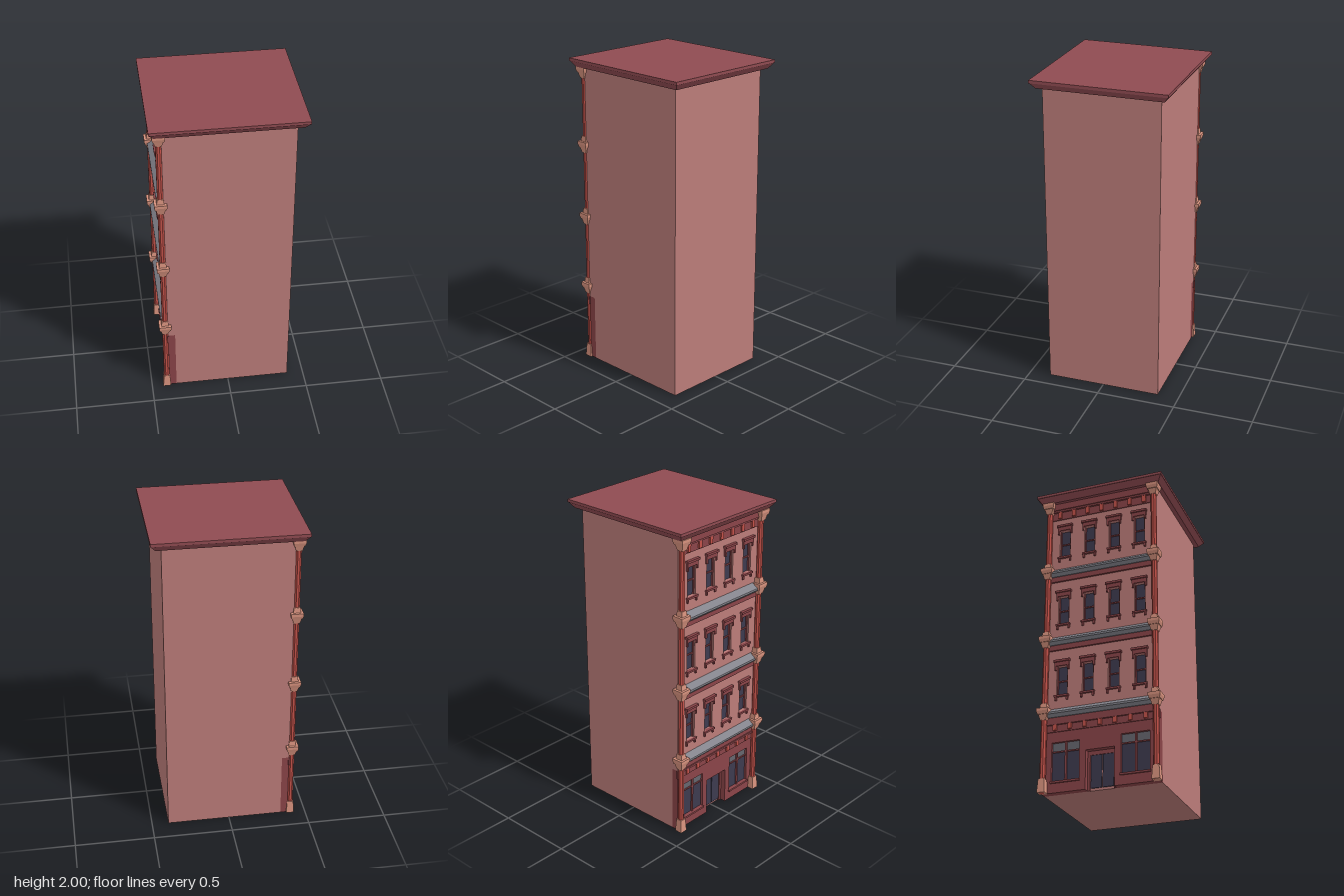
import * as THREE from 'three';

const mat = (color) => new THREE.MeshStandardMaterial({ color, flatShading: true });

export function createModel() {
  const M = {
    wall: mat(0xbb7c79), roof: mat(0x8f4b51), trim: mat(0x8a4448), column: mat(0xc4524a),
    stone: mat(0xd6917d), glass: mat(0x3d3a4e), transom: mat(0x66666e), ledge: mat(0x84848c),
  };
  const model = new THREE.Group();
  const W = 0.73, H = 1.95, DEPTH = 0.045, FACE = -0.385;
  const STOREY = 0.475;

  const add = (parent, name, geo, material, x = 0, y = 0, z = 0) => {
    const m = new THREE.Mesh(geo, material);
    m.name = name;
    m.position.set(x, y, z);
    parent.add(m);
    return m;
  };
  // box given by centre u, bottom and top, and how far back and out it reaches
  const slab = (parent, name, material, u, w, y0, y1, back, out) =>
    add(parent, name, new THREE.BoxGeometry(w, y1 - y0, out - back), material,
      u, (y0 + y1) / 2, (back + out) / 2);
  // tapered block with a rectangular plan
  const taper = (w0, d0, w1, d1, h) => {
    const g = new THREE.BoxGeometry(1, h, 1);
    const p = g.attributes.position;
    for (let i = 0; i < p.count; i++) {
      const top = p.getY(i) > 0;
      p.setX(i, p.getX(i) * (top ? w1 : w0));
      p.setZ(i, p.getZ(i) * (top ? d1 : d0));
    }
    g.translate(0, h / 2, 0);
    g.computeVertexNormals();
    return g;
  };
  const rect = (Cls, u, w, y0, y1) => {
    const s = new Cls();
    s.moveTo(u - w / 2, y0);
    s.lineTo(u + w / 2, y0);
    s.lineTo(u + w / 2, y1);
    s.lineTo(u - w / 2, y1);
    s.closePath();
    return s;
  };

  // plain body of the building, behind the street wall
  const bodyLen = 0.395 - (FACE + DEPTH);
  add(model, 'body', new THREE.BoxGeometry(bodyLen, H, W), M.wall, 0.395 - bodyLen / 2, H / 2, 0);

  // roof with flared cornice
  const roof = new THREE.Group();
  roof.name = 'roof';
  model.add(roof);
  add(roof, 'roofFlare', taper(0.86, 0.785, 0.915, 0.84, 0.037), M.roof, 0, 1.945, 0);
  add(roof, 'roofSlab', new THREE.BoxGeometry(0.92, 0.018, 0.845), M.roof, 0, 1.991, 0);

  // street side: local x runs along the wall, local z points outwards
  const facade = new THREE.Group();
  facade.name = 'facade';
  facade.position.x = FACE;
  facade.rotation.y = -Math.PI / 2;
  model.add(facade);

  const bays = [-0.25, -0.083, 0.083, 0.25];
  const floors = [0, 1, 2].map((i) => i * STOREY);
  const shops = [-0.218, 0.218];

  // upper wall with window openings
  const wall = rect(THREE.Shape, 0, W, 0.43, H);
  for (const f of floors) for (const u of bays) wall.holes.push(rect(THREE.Path, u, 0.07, 0.61 + f, 0.8 + f));
  add(facade, 'streetWall', new THREE.ExtrudeGeometry(wall, { depth: DEPTH, bevelEnabled: false }),
    M.wall, 0, 0, -DEPTH);

  // ground floor front with door recess and shop window openings
  const front = new THREE.Shape();
  [[-W / 2, 0], [-0.09, 0], [-0.09, 0.24], [0.09, 0.24], [0.09, 0], [W / 2, 0], [W / 2, 0.43], [-W / 2, 0.43]]
    .forEach(([u, y], i) => (i ? front.lineTo(u, y) : front.moveTo(u, y)));
  for (const u of shops) front.holes.push(rect(THREE.Path, u, 0.175, 0.07, 0.31));
  add(facade, 'shopFront', new THREE.ExtrudeGeometry(front, { depth: DEPTH, bevelEnabled: false }),
    M.trim, 0, 0, -DEPTH);

  // door
  for (const s of [-1, 1]) {
    slab(facade, 'doorLeaf', M.glass, s * 0.037, 0.068, 0.015, 0.215, -DEPTH, -0.038);
    slab(facade, 'doorPost', M.trim, s * 0.082, 0.016, 0, 0.24, -DEPTH, -0.034);
  }
  slab(facade, 'doorHead', M.trim, 0, 0.18, 0.215, 0.24, -DEPTH, -0.034);

  // shop windows
  for (const u of shops) {
    slab(facade, 'shopGlass', M.glass, u, 0.175, 0.07, 0.255, -DEPTH, -0.016);
    slab(facade, 'shopTransom', M.transom, u, 0.175, 0.255, 0.31, -DEPTH, -0.016);
    slab(facade, 'shopMullion', M.trim, u, 0.012, 0.07, 0.31, -0.016, -0.006);
    slab(facade, 'shopRail', M.trim, u, 0.175, 0.25, 0.258, -0.016, -0.008);
    slab(facade, 'shopSill', M.trim, u, 0.185, 0.058, 0.07, 0, 0.01);
  }

  // friezes with brackets over the shop front and under the roof
  const frieze = (y0, y1, w) => {
    slab(facade, 'frieze', M.trim, 0, w, y0, y1, -0.004, 0.006);
    slab(facade, 'friezeMoulding', M.trim, 0, 0.68, y1 - 0.012, y1, 0, 0.018);
    for (let i = 0; i < 7; i++)
      slab(facade, 'friezeBracket', M.column, -0.285 + i * 0.095, 0.024, y0 + 0.008, y1 - 0.012, 0, 0.016);
  };
  frieze(0.375, 0.43, 0.742);
  frieze(1.835, 1.9, 0.7);
  slab(facade, 'topBand', M.trim, 0, 0.68, 1.9, 1.945, 0, 0.024);

  // sloped ledges at each storey, drawn in section and run along the wall
  const section = new THREE.Shape();
  [[0, 0.03], [0, -0.03], [0.018, -0.03], [0.036, -0.012], [0.036, 0]]
    .forEach(([o, y], i) => (i ? section.lineTo(o, y) : section.moveTo(o, y)));
  const ledgeGeo = new THREE.ExtrudeGeometry(section, { depth: 0.68, bevelEnabled: false });
  ledgeGeo.rotateY(-Math.PI / 2);
  ledgeGeo.translate(0.34, 0, 0);
  for (const f of floors) {
    add(facade, 'ledge', ledgeGeo, M.ledge, 0, 0.495 + f, 0);
    slab(facade, 'ledgeBand', M.trim, 0, 0.68, 0.432 + f, 0.465 + f, 0, 0.012);
  }

  // upper windows
  for (const f of floors) for (const u of bays) {
    const win = new THREE.Group();
    win.name = 'window';
    win.position.set(u, f, 0);
    facade.add(win);
    slab(win, 'glass', M.glass, 0, 0.07, 0.61, 0.8, -DEPTH, -0.02);
    slab(win, 'meetingRail', M.trim, 0, 0.07, 0.701, 0.709, -0.02, -0.012);
    slab(win, 'sill', M.trim, 0, 0.092, 0.598, 0.61, -0.01, 0.014);
    slab(win, 'lintel', M.trim, 0, 0.094, 0.8, 0.826, 0, 0.012);
    slab(win, 'hood', M.trim, 0, 0.104, 0.826, 0.84, 0, 0.02);
    for (const s of [-1, 1]) {
      slab(win, 'sillBracket', M.trim, s * 0.037, 0.012, 0.576, 0.598, 0, 0.01);
      slab(win, 'hoodBracket', M.trim, s * 0.041, 0.011, 0.775, 0.8, 0, 0.012);
      slab(win, 'jamb', M.trim, s * 0.032, 0.006, 0.61, 0.8, -0.02, -0.01);
    }
  }

  // corner columns with stone bases and capitals
  for (const s of [-1, 1]) {
    const col = new THREE.Group();
    col.name = 'cornerColumn';
    col.position.set(s * 0.352, 0, 0.017);
    facade.add(col);
    const shaft = new THREE.CylinderGeometry(0.0185, 0.0185, 1.945, 8);
    shaft.rotateY(Math.PI / 8);
    add(col, 'shaft', shaft, M.column, 0, 1.945 / 2, 0);
    add(col, 'base', taper(0.05, 0.05, 0.039, 0.039, 0.085), M.stone);
    for (let i = 0; i < 4; i++) {
      const y = 0.45 + i * STOREY;
      add(col, 'capitalBell', taper(0.038, 0.038, 0.06, 0.06, 0.042), M.stone, 0, y, 0);
      add(col, 'capitalFlare', taper(0.064, 0.064, 0.076, 0.076, 0.02), M.stone, 0, y + 0.035, 0);
      add(col, 'capitalBand', taper(0.076, 0.076, 0.076, 0.076, 0.018), M.stone, 0, y + 0.055, 0);
      add(col, 'capitalBlock', taper(0.046, 0.046, 0.038, 0.038, 0.033), M.stone, 0, y + 0.073, 0);
    }
  }
  return model;
}
